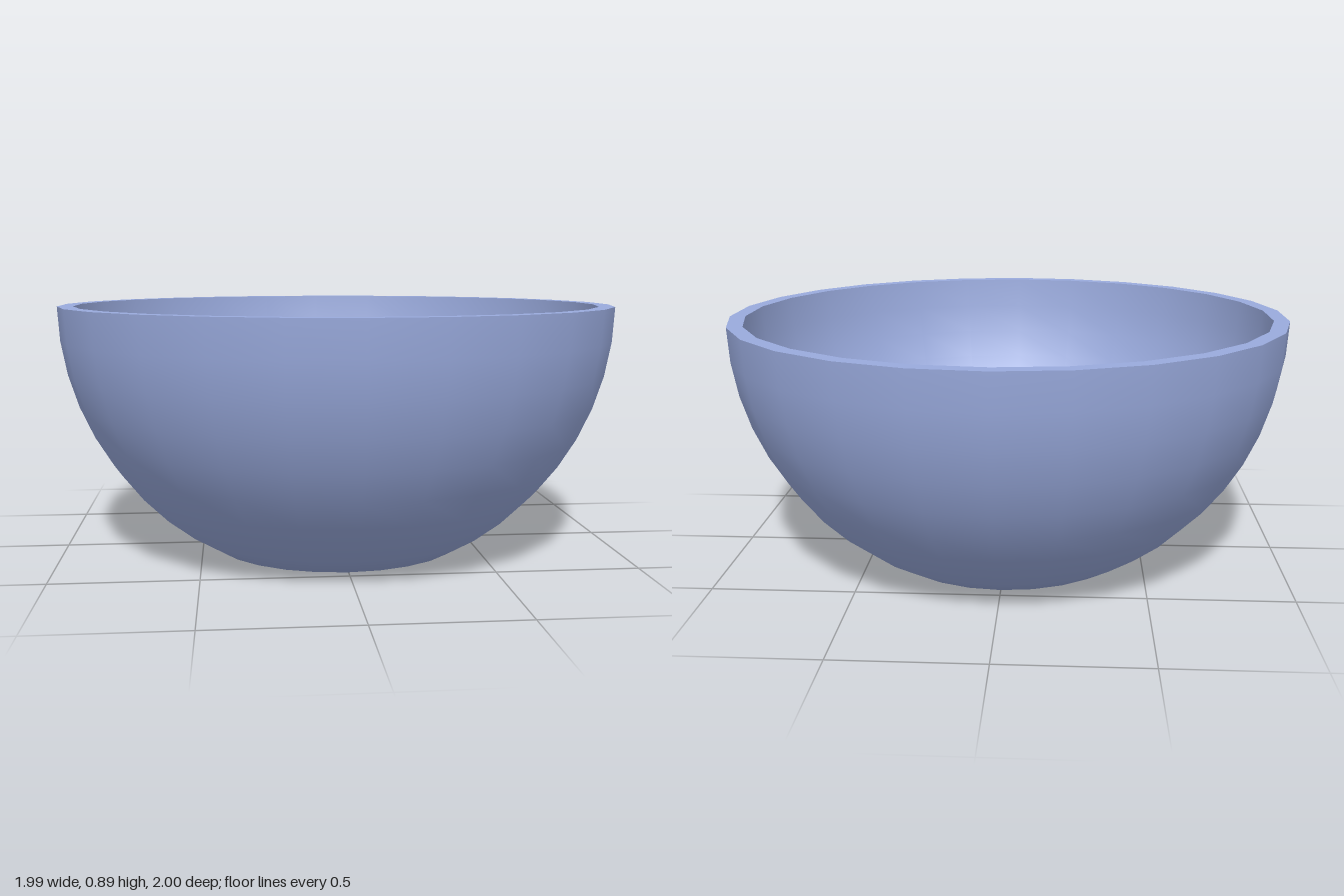
import * as THREE from 'three';

const SEGMENTS = 26; // sides around the bowl
const RIM_Y = 0.89; // centre height of the spherical wall
const OUTER = 1;
const INNER = 0.945;

// Wall profile: flat floor from the axis, then a circular arc up to the rim
function wallProfile(radius, floorY, steps = 9) {
  const points = [new THREE.Vector2(0, floorY)];
  const start = Math.asin((RIM_Y - floorY) / radius);
  for (let i = 0; i <= steps; i++) {
    const a = start * (1 - i / steps);
    points.push(new THREE.Vector2(radius * Math.cos(a), RIM_Y - radius * Math.sin(a)));
  }
  return points;
}

export function createModel() {
  const group = new THREE.Group();
  group.name = 'bowl';
  const material = new THREE.MeshStandardMaterial({ color: 0x99aadd });

  const add = (name, points) => {
    const mesh = new THREE.Mesh(new THREE.LatheGeometry(points, SEGMENTS), material);
    mesh.name = name;
    group.add(mesh);
  };

  // Separate lathes keep the rim edges crisp while the walls stay smooth
  add('outerWall', wallProfile(OUTER, 0));
  add('rim', [new THREE.Vector2(OUTER, RIM_Y), new THREE.Vector2(INNER, RIM_Y)]);
  add('innerWall', wallProfile(INNER, OUTER - INNER).reverse());

  return group;
}
